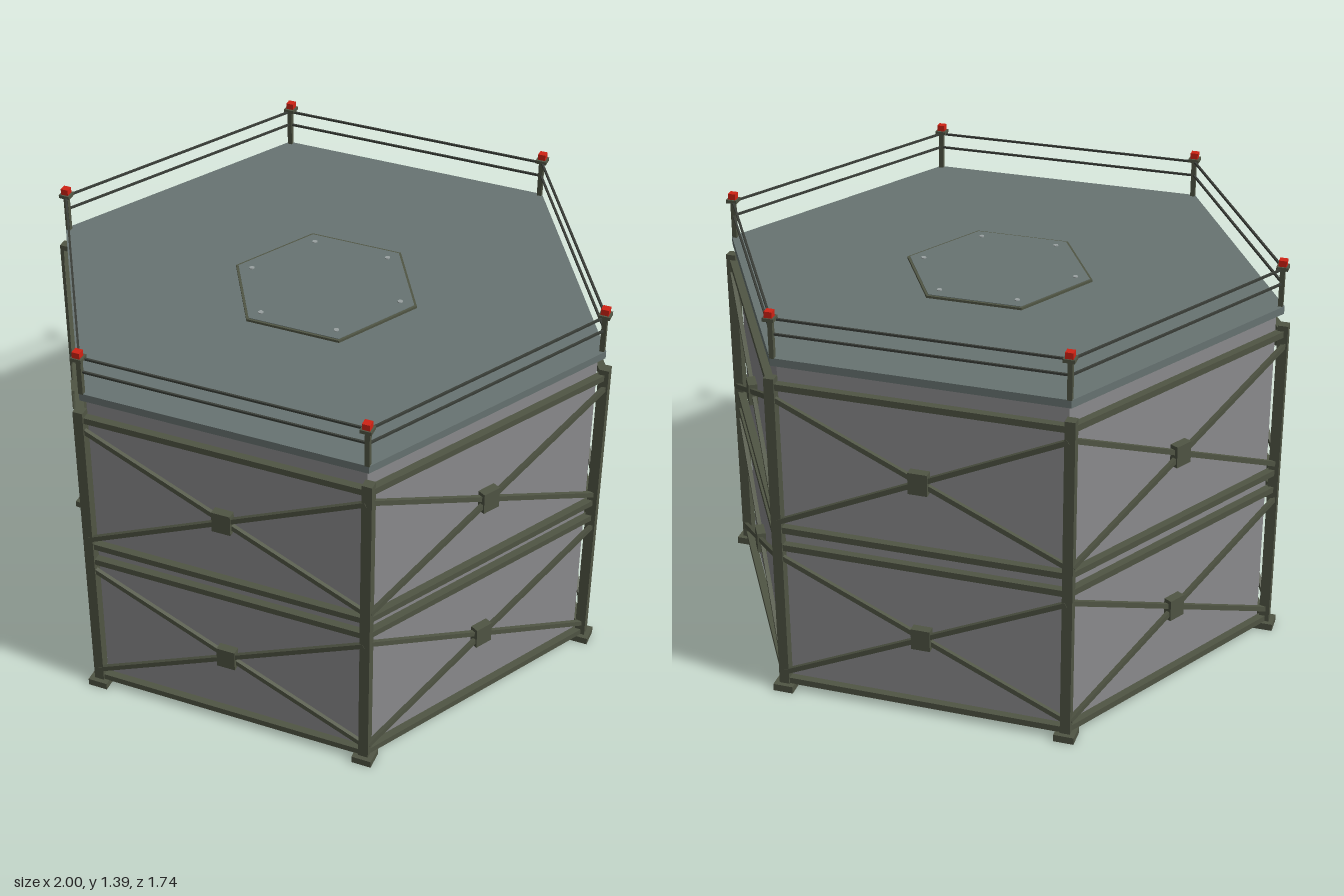
import * as THREE from 'three';

const mat = (name, color) => {
  const m = new THREE.MeshStandardMaterial({ color });
  m.name = name;
  return m;
};

export function createModel() {
  const wallGrey = mat('wall grey', 0x8c8c8e);
  const deckGrey = mat('deck grey green', 0x687472);
  const frameOlive = mat('frame olive', 0x505544);
  const wireDark = mat('wire dark', 0x3a3e38);
  const lampRed = mat('lamp red', 0xd02214);
  const boltGrey = mat('bolt grey', 0x98a0a0);

  const model = new THREE.Group();
  model.name = 'hexagonalTank';

  const add = (parent, name, geo, material, x = 0, y = 0, z = 0) => {
    const mesh = new THREE.Mesh(geo, material);
    mesh.name = name;
    mesh.position.set(x, y, z);
    parent.add(mesh);
    return mesh;
  };
  const box = (w, h, d) => new THREE.BoxGeometry(w, h, d);

  // Six-sided prism with corners on the x axis and crisp faces
  const hexPrism = (r, y0, y1) => {
    const geo = new THREE.CylinderGeometry(r, r, y1 - y0, 6, 1, false, Math.PI / 6).toNonIndexed();
    geo.translate(0, (y0 + y1) / 2, 0);
    geo.computeVertexNormals();
    return geo;
  };

  // Body, deck and hatch
  add(model, 'body', hexPrism(0.94, 0.002, 1.197), wallGrey);
  add(model, 'deck', hexPrism(0.965, 1.197, 1.224), deckGrey);
  add(model, 'hatchRim', hexPrism(0.323, 1.224, 1.232), frameOlive);
  add(model, 'hatchPanel', hexPrism(0.314, 1.224, 1.234), deckGrey);

  for (let i = 0; i < 6; i++) {
    const a = (i * Math.PI) / 3;
    const c = Math.cos(a), s = Math.sin(a);

    // Hatch bolt
    add(model, 'hatchBolt', new THREE.CylinderGeometry(0.009, 0.009, 0.004, 8), boltGrey, 0.265 * c, 1.235, 0.265 * s);

    // Corner pillar and its foot
    add(model, 'pillar', box(0.034, 1.14, 0.034), frameOlive, 0.967 * c, 0.59, 0.967 * s);
    add(model, 'foot', box(0.068, 0.025, 0.068), frameOlive, 0.966 * c, 0.0125, 0.966 * s);

    // Railing post, cap and warning lamp
    const px = 0.952 * c, pz = 0.957 * s;
    add(model, 'railPost', box(0.016, 0.135, 0.016), frameOlive, px, 1.29, pz);
    add(model, 'postCap', box(0.038, 0.012, 0.038), frameOlive, px, 1.36, pz + 0.005 * Math.sign(Math.round(s * 10)));
    add(model, 'lamp', box(0.026, 0.022, 0.026), lampRed, px, 1.376, pz + 0.007 * Math.sign(Math.round(s * 10)));

    // One side of the frame, built facing +z and turned into place
    const side = new THREE.Group();
    side.name = 'sideFrame';
    side.rotation.y = a;
    model.add(side);

    for (const y of [0.035, 0.55, 0.615, 1.13])
      add(side, 'girder', box(0.95, 0.022, 0.026), frameOlive, 0, y, 0.836);

    // Crossed braces with a plate where they meet
    for (const y of [0.292, 0.868]) {
      const w = 0.96, h = 0.445;
      for (const dir of [-1, 1]) {
        const brace = add(side, 'brace', box(Math.hypot(w, h), 0.017, 0.014), frameOlive, 0, y, 0.846 + dir * 0.003);
        brace.rotation.z = dir * Math.atan2(h, w);
      }
      add(side, 'crossPlate', box(0.064, 0.075, 0.03), frameOlive, 0, y, 0.846);
    }

    // Railing wires
    for (const y of [1.303, 1.355])
      add(side, 'railWire', box(0.952, 0.007, 0.007), wireDark, 0, y, 0.826);
  }
  return model;
}
